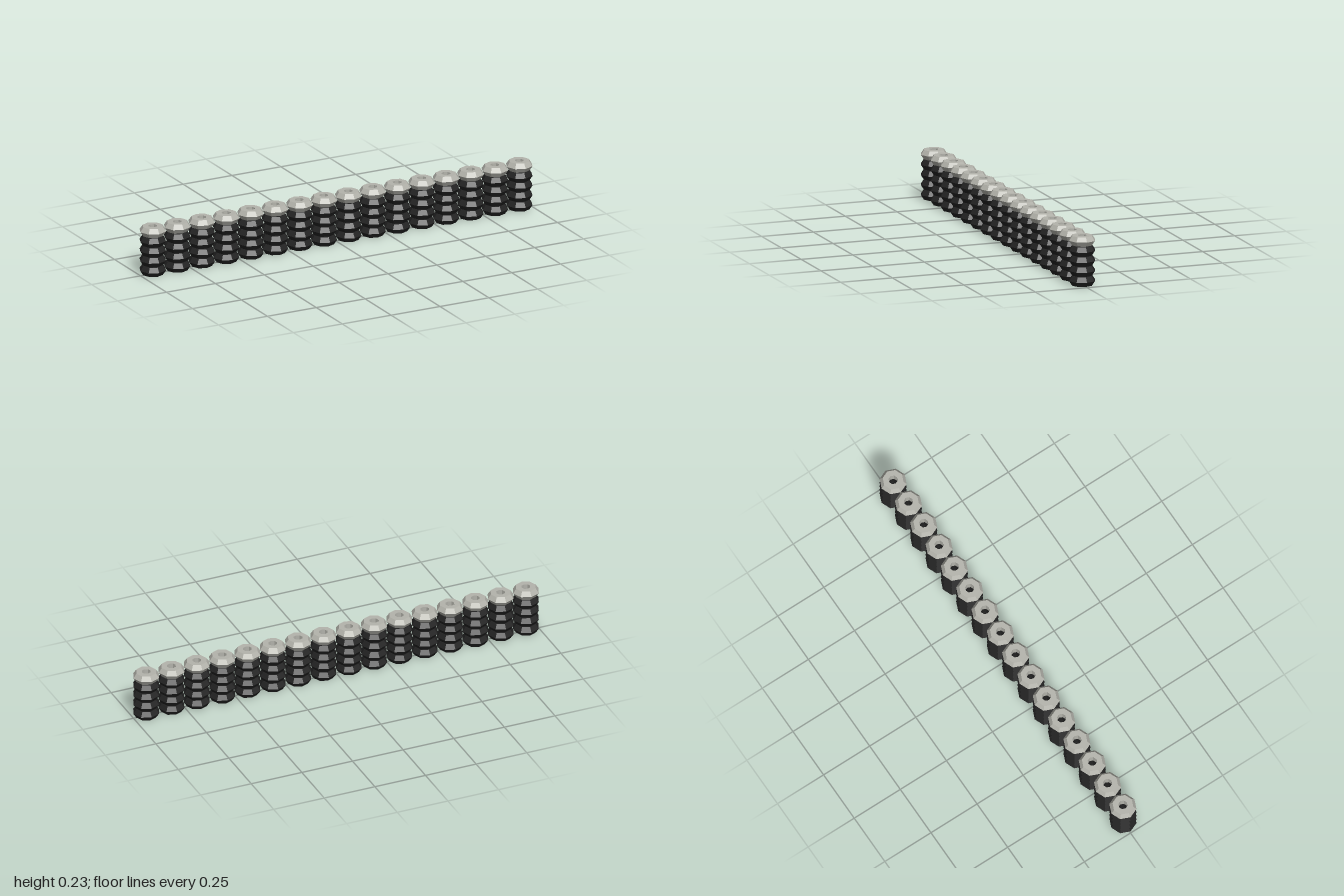
import * as THREE from 'three';

const STACKS = 16, LAYERS = 5;
const SPACING = 0.125, PITCH = 0.0466, HEIGHT = 0.0436;
const OUTER = 0.0625, SHOULDER = 0.048, HOLE = 0.021;

// Eight-sided tyre: pointed tread, flat sidewalls, open centre
function tyreGeometry() {
  const profile = [
    [SHOULDER, 0], [OUTER, HEIGHT / 2], [SHOULDER, HEIGHT],
    [HOLE, HEIGHT], [HOLE, 0], [SHOULDER, 0],
  ].map(([r, y]) => new THREE.Vector2(r, y));
  return new THREE.LatheGeometry(profile, 8);
}

export function createModel() {
  const model = new THREE.Group();
  model.name = 'tyreBarrier';
  const geometry = tyreGeometry();
  const black = new THREE.MeshStandardMaterial({ color: 0x222222, flatShading: true });
  const pale = new THREE.MeshStandardMaterial({ color: 0xb4b4ac, flatShading: true });

  // Row of stacks, each black with a pale tyre on top
  for (let i = 0; i < STACKS; i++) {
    const stack = new THREE.Group();
    stack.name = `tyreStack${i + 1}`;
    stack.position.x = (i - (STACKS - 1) / 2) * SPACING;
    for (let j = 0; j < LAYERS; j++) {
      const top = j === LAYERS - 1;
      const tyre = new THREE.Mesh(geometry, top ? pale : black);
      tyre.name = top ? 'topTyre' : `tyre${j + 1}`;
      tyre.position.y = j * PITCH;
      stack.add(tyre);
    }
    model.add(stack);
  }
  return model;
}
